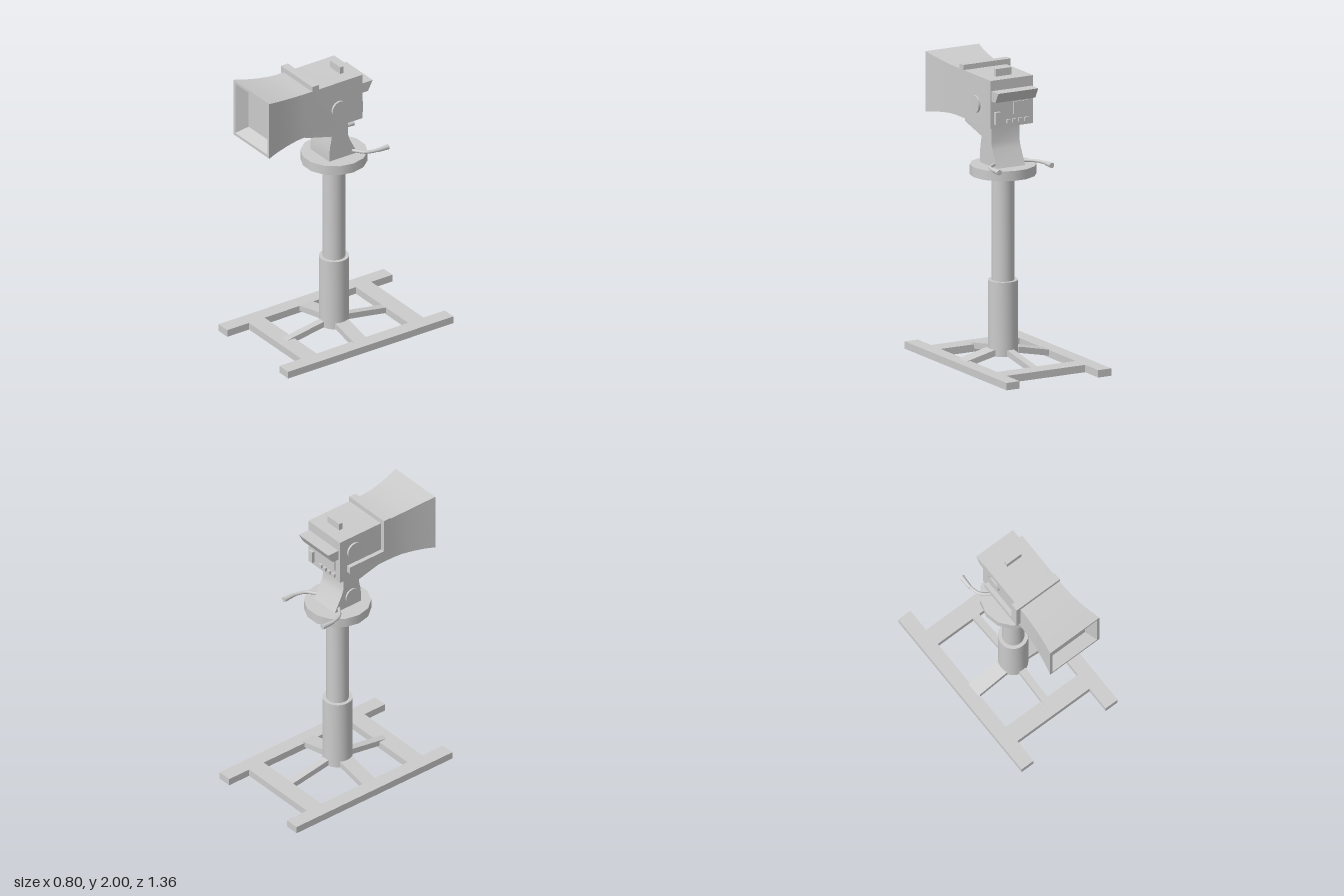
import * as THREE from 'three';
import { toCreasedNormals } from 'three/addons/utils/BufferGeometryUtils.js';

const CX = 0.02, CZ = 0.015; // axis of the column
const grey = new THREE.MeshStandardMaterial({ color: 0xcccccc });

export function createModel() {
  const model = new THREE.Group();

  const add = (name, geometry) => {
    const mesh = new THREE.Mesh(geometry, grey);
    mesh.name = name;
    model.add(mesh);
    return mesh;
  };
  // Box given by its limits on each axis
  const box = (name, x0, x1, y0, y1, z0, z1) =>
    add(name, new THREE.BoxGeometry(x1 - x0, y1 - y0, z1 - z0)
      .translate((x0 + x1) / 2, (y0 + y1) / 2, (z0 + z1) / 2));
  const extrude = (points, depth) => new THREE.ExtrudeGeometry(
    new THREE.Shape(points.map(p => new THREE.Vector2(...p))), { depth, bevelEnabled: false });
  // Side outline of (z, y) points, extruded from x0 to x1
  const sideProfile = (name, points, x0, x1) =>
    add(name, toCreasedNormals(extrude(points, x1 - x0).rotateY(-Math.PI / 2).translate(x1, 0, 0), 0.5));
  // Round cover on a side wall
  const sideDisc = (name, x, y, z, r, thickness) =>
    add(name, new THREE.CylinderGeometry(r, r, thickness, 32).rotateZ(Math.PI / 2).translate(x, y, z));

  // Ground frame
  for (const s of [-1, 1]) box('rail', s * 0.35 - 0.05, s * 0.35 + 0.05, 0, 0.05, -0.68, 0.65);
  box('rearCrossbar', -0.3, 0.3, 0, 0.05, -0.51, -0.385);
  box('frontCrossbar', -0.3, 0.3, 0, 0.05, 0.35, 0.475);

  // Sloping arms from the frame up to the column: [length, width, turn]
  for (const [length, width, turn] of [
    [0.31, 0.105, 0], [0.33, 0.105, Math.PI], [0.4, 0.05, -Math.PI / 2], [0.4, 0.05, Math.PI / 2]]) {
    const arm = extrude([[0.088, 0.06], [length, 0.01], [length, 0.05], [0.1, 0.1], [0.088, 0.1]], width)
      .translate(0, 0, -width / 2).rotateY(turn).translate(CX, 0, CZ);
    add('baseArm', arm);
  }

  // Column with a wider sleeve, hollow underneath
  const column = [[0, 0.12], [0.085, 0.12], [0.085, 0.055], [0.1, 0.055], [0.1, 0.56], [0.075, 0.56], [0.075, 1.29]];
  add('column', toCreasedNormals(
    new THREE.LatheGeometry(column.map(p => new THREE.Vector2(...p)), 40), 0.6).translate(CX, 0, CZ));
  add('turntable', new THREE.CylinderGeometry(0.222, 0.222, 0.067, 14, 1, false, Math.PI / 2)
    .translate(CX, 1.312, CZ));

  // Neck
  sideProfile('neck', [[0.13, 1.345], [0.13, 1.39], [0.124, 1.45], [0.112, 1.505], [0.11, 1.527], [0.325, 1.583],
    [0.325, 1.626], [-0.02, 1.626], [-0.02, 1.505], [-0.035, 1.46], [-0.09, 1.355], [-0.095, 1.345]], -0.085, 0.13);
  sideDisc('neckCover', -0.088, 1.425, 0.05, 0.055, 0.016);

  // Steering handles
  for (const s of [-1, 1]) {
    const at = (x, z) => new THREE.Vector3(CX + s * x, 1.37, z);
    const path = new THREE.CatmullRomCurve3(
      [at(0.09, -0.05), at(0.135, -0.08), at(0.175, -0.115), at(0.193, -0.16), at(0.2, -0.21)]);
    add('handleBar', new THREE.TubeGeometry(path, 20, 0.011, 12));
    add('handleGrip', new THREE.CylinderGeometry(0.018, 0.013, 0.09, 16)
      .rotateX(-Math.PI / 2).translate(CX + s * 0.2, 1.37, -0.235));
  }

  add('housing', housingGeometry());

  // Fittings on the housing
  box('topBlock', -0.03, 0.09, 1.94, 2, -0.012, 0.014);
  box('topStrap', -0.175, 0.185, 1.95, 1.985, 0.25, 0.305);
  box('sideStrap', -0.175, -0.145, 1.69, 1.985, 0.25, 0.305);
  box('sideStrapFoot', -0.175, -0.145, 1.69, 1.74, -0.04, 0.25);
  sideDisc('leftCover', 0.188, 1.755, 0.09, 0.058, 0.016);
  sideDisc('rightCover', -0.148, 1.84, 0.02, 0.058, 0.016);

  // Rear control panel
  sideProfile('visor', [[-0.1, 1.81], [-0.1, 1.88], [-0.188, 1.88], [-0.15, 1.81]], -0.13, 0.175);
  box('switchBlock', 0.12, 0.155, 1.65, 1.735, -0.122, -0.095);
  box('screen', -0.1, 0.01, 1.705, 1.79, -0.108, -0.095);
  for (let i = 0; i < 4; i++) {
    const x = -0.085 + i * 0.045;
    box('button', x - 0.014, x + 0.014, 1.65, 1.675, -0.115, -0.095);
  }
  return model;
}

// Square housing flaring to the front, with a rimmed recess and a flat pane
function housingGeometry() {
  // Half width and z of each square ring, from the rear centre round to the pane
  const rings = [[0, -0.1], [0.1625, -0.1], [0.1625, 0.36], [0.166, 0.43], [0.175, 0.51], [0.189, 0.6],
    [0.205, 0.68], [0.185, 0.68], [0.146, 0.6], [0, 0.6]];
  const corner = ([h, z], k) => {
    const a = Math.PI / 4 + k * Math.PI / 2;
    return [CX + h * Math.SQRT2 * Math.cos(a), 1.7875 + h * Math.SQRT2 * Math.sin(a), z];
  };
  const positions = [];
  for (let i = 0; i < rings.length - 1; i++) {
    for (let k = 0; k < 4; k++) {
      const a = corner(rings[i], k), b = corner(rings[i], k + 1);
      const c = corner(rings[i + 1], k + 1), d = corner(rings[i + 1], k);
      if (rings[i][0] > 0) positions.push(...a, ...b, ...c);
      if (rings[i + 1][0] > 0) positions.push(...a, ...c, ...d);
    }
  }
  const geometry = new THREE.BufferGeometry();
  geometry.setAttribute('position', new THREE.Float32BufferAttribute(positions, 3));
  return toCreasedNormals(geometry, 0.4);
}
